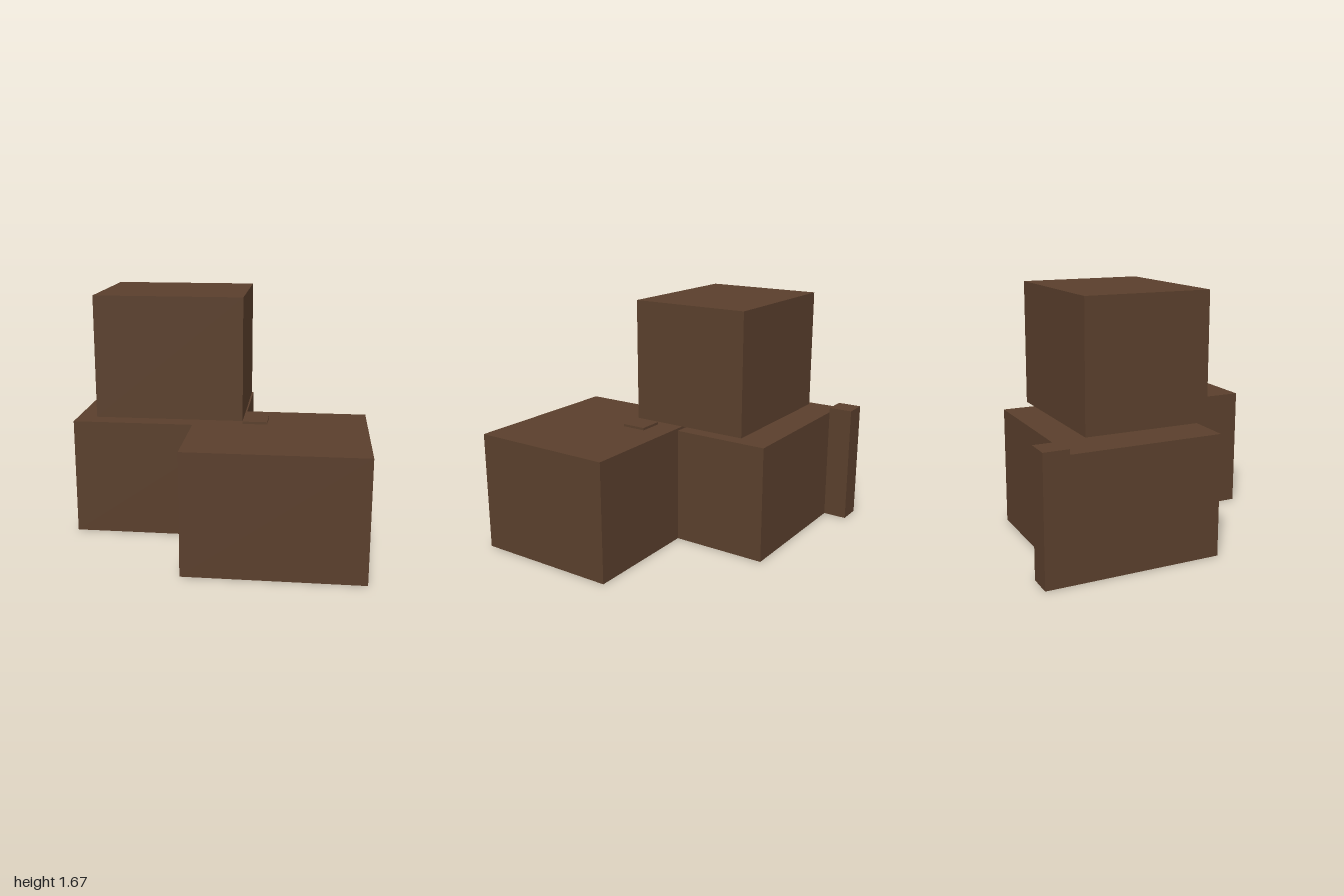
import * as THREE from 'three';

const U = 1 / 6; // block unit

export function createModel() {
  const model = new THREE.Group();
  model.name = 'stackedCrates';
  const brown = new THREE.MeshStandardMaterial({ color: 0x5a3f2c, side: THREE.DoubleSide });
  brown.name = 'darkBrown';

  // Box from its low and high corners; an open box has no underside
  function addBox(name, [x0, y0, z0], [x1, y1, z1], open) {
    const geometry = new THREE.BoxGeometry(x1 - x0, y1 - y0, z1 - z0);
    if (open) {
      const index = Array.from(geometry.index.array);
      index.splice(18, 6); // the -y face
      geometry.setIndex(index);
      geometry.clearGroups();
    }
    geometry.translate((x0 + x1) / 2, (y0 + y1) / 2, (z0 + z1) / 2);
    const mesh = new THREE.Mesh(geometry, brown);
    mesh.name = name;
    model.add(mesh);
  }

  // Two large crates on the ground, overlapping at the centre
  addBox('rearCrate', [-1, 0, -4.5 * U], [U, 0.8, 1.5 * U], true);
  addBox('frontCrate', [-U, 0, -0.5 * U], [1, 0.817, 5.5 * U], true);

  // Thin posts: one at the rear corner, one rising through the front crate
  addBox('cornerPost', [-1, 0, -5.5 * U], [-5 * U, 5 * U, -4.5 * U], true);
  addBox('innerPost', [U, 0, 0.5 * U], [2 * U, 5 * U, 1.5 * U], true);

  // Closed crate on top, just clear of the rear crate
  addBox('topCrate', [-5 * U, 0.837, -3.5 * U], [U, 10 * U, 1.5 * U], false);

  return model;
}
